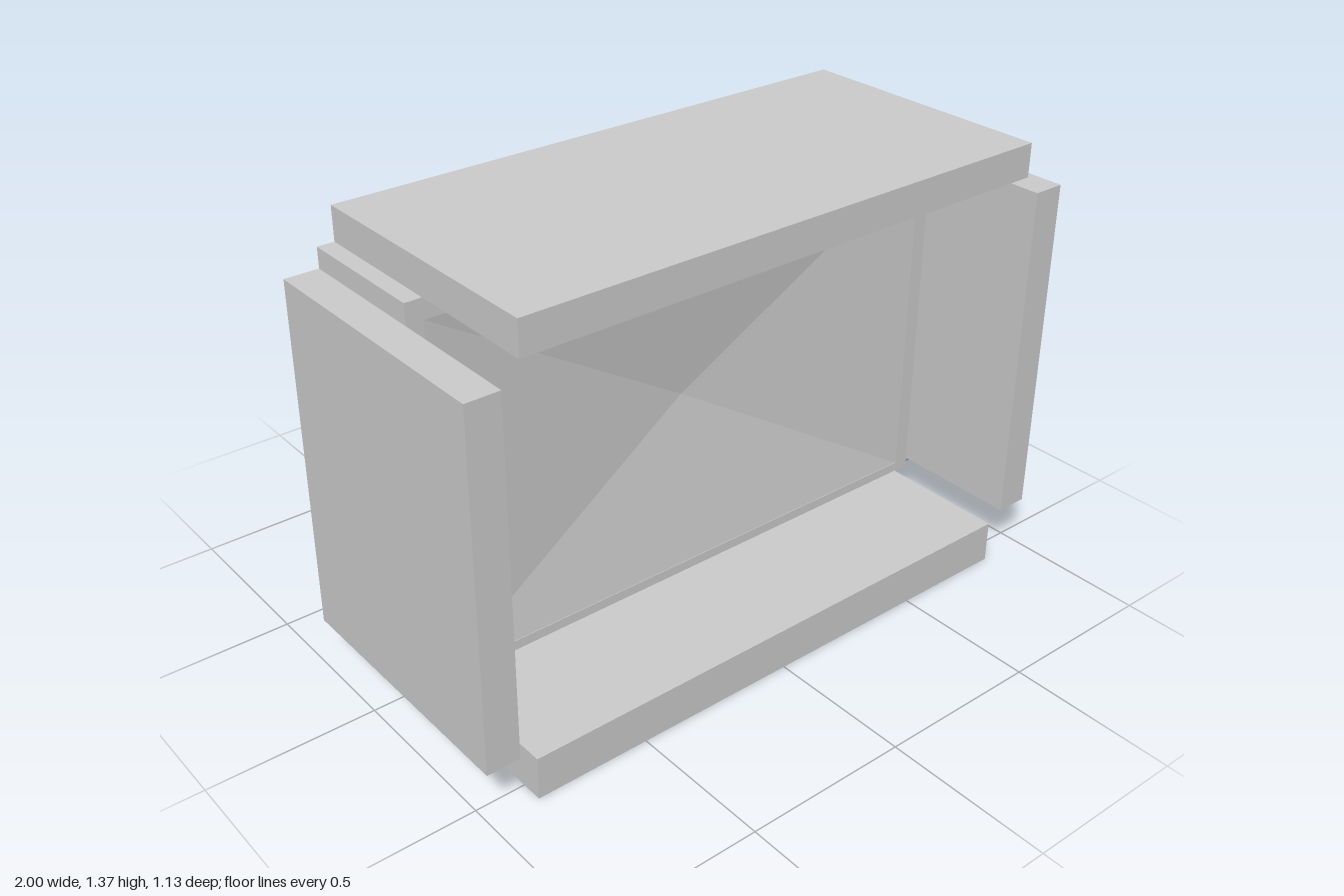
import * as THREE from 'three';
import { ConvexGeometry } from 'three/addons/geometries/ConvexGeometry.js';

const mat = new THREE.MeshStandardMaterial({ color: 0xcccccc, flatShading: true });
const thin = new THREE.MeshStandardMaterial({ color: 0xcccccc, flatShading: true, side: THREE.DoubleSide });

function add(parent, name, geo, x = 0, y = 0, z = 0, m = mat) {
  const mesh = new THREE.Mesh(geo, m);
  mesh.name = name;
  mesh.position.set(x, y, z);
  parent.add(mesh);
  return mesh;
}

// box from its extents
function block(parent, name, x0, x1, y0, y1, z0, z1) {
  return add(parent, name, new THREE.BoxGeometry(x1 - x0, y1 - y0, z1 - z0),
    (x0 + x1) / 2, (y0 + y1) / 2, (z0 + z1) / 2);
}

// solid through sections [z, halfWidth, y0, y1] with decreasing z; chamfer cuts the corners
function loft(sections, chamfer = 0) {
  const pos = [], idx = [];
  let n = 4;
  for (const [z, w, y0, y1] of sections) {
    const cx = w * chamfer, cy = (y1 - y0) * chamfer / 2;
    const ring = chamfer
      ? [[-w + cx, y0], [w - cx, y0], [w, y0 + cy], [w, y1 - cy], [w - cx, y1], [-w + cx, y1], [-w, y1 - cy], [-w, y0 + cy]]
      : [[-w, y0], [w, y0], [w, y1], [-w, y1]];
    n = ring.length;
    ring.forEach(([x, y]) => pos.push(x, y, z));
  }
  const last = (sections.length - 1) * n;
  for (let r = 0; r < last; r += n) {
    for (let i = 0; i < n; i++) {
      const j = (i + 1) % n;
      idx.push(r + i, r + n + i, r + j, r + j, r + n + i, r + n + j);
    }
  }
  for (let i = 1; i < n - 1; i++) idx.push(0, i, i + 1, last, last + i + 1, last + i);
  const g = new THREE.BufferGeometry();
  g.setAttribute('position', new THREE.Float32BufferAttribute(pos, 3));
  g.setIndex(idx);
  const flat = g.toNonIndexed();
  flat.computeVertexNormals();
  return flat;
}

// faceted bead with eight sides and bevelled ends
function gem(w, h, d) {
  const profile = [[0, -0.5], [0.34, -0.5], [0.54, -0.27], [0.54, 0.27], [0.34, 0.5], [0, 0.5]]
    .map(([x, y]) => new THREE.Vector2(x, y));
  return new THREE.LatheGeometry(profile, 8).rotateY(Math.PI / 8).scale(w, h, d);
}

// beaked animal head on a stepped plinth, looking to the back
function creatureHead(x) {
  const g = new THREE.Group();
  g.name = 'beakedHead';
  add(g, 'plinth', loft([[0.1, 0.115, 0.165, 0.39], [-0.25, 0.115, 0.18, 0.4], [-0.28, 0.137, 0.155, 0.42],
    [-0.31, 0.092, 0.19, 0.38]]));
  add(g, 'neck', loft([[-0.3, 0.09, 0.195, 0.38], [-0.385, 0.075, 0.2, 0.41]], 0.25));
  add(g, 'upperBeak', loft([[-0.37, 0.075, 0.27, 0.405], [-0.42, 0.1, 0.31, 0.415], [-0.46, 0.1, 0.31, 0.412],
    [-0.52, 0.072, 0.3, 0.37], [-0.55, 0.038, 0.275, 0.34], [-0.56, 0.026, 0.265, 0.32]], 0.4));
  add(g, 'lowerJaw', loft([[-0.37, 0.075, 0.2, 0.275], [-0.43, 0.07, 0.175, 0.25], [-0.47, 0.055, 0.168, 0.225],
    [-0.525, 0.025, 0.203, 0.213]], 0.3));
  add(g, 'tongue', loft([[-0.38, 0.04, 0.265, 0.275], [-0.46, 0.04, 0.24, 0.25], [-0.5, 0.035, 0.23, 0.24],
    [-0.565, 0.01, 0.233, 0.242]]));
  g.position.x = x;
  return g;
}

export function createModel() {
  const model = new THREE.Group();
  model.name = 'ornateNiche';

  // outer slabs
  block(model, 'topSlab', -0.85, 0.85, 1.27, 1.37, -0.25, 0.565);
  block(model, 'bottomSlab', -0.85, 0.85, 0, 0.13, -0.25, 0.565);
  for (const s of [-1, 1]) block(model, 'sideSlab', s * 0.95 - 0.05, s * 0.95 + 0.05, 0.16, 1.21, -0.25, 0.565);

  // inner frame
  const rect = (C, x, y0, y1) => {
    const p = new C();
    p.moveTo(-x, y0).lineTo(x, y0).lineTo(x, y1).lineTo(-x, y1).closePath();
    return p;
  };
  const frame = rect(THREE.Shape, 0.9, 0.13, 1.27);
  frame.holes.push(rect(THREE.Path, 0.85, 0.16, 1.21));
  add(model, 'innerFrame', new THREE.ExtrudeGeometry(frame, { depth: 0.415, bevelEnabled: false }), 0, 0, -0.25);

  // shallow pyramid panel closing the frame
  const panel = new THREE.BufferGeometry();
  panel.setAttribute('position', new THREE.Float32BufferAttribute(
    [-0.85, 0.16, 0.163, 0.85, 0.16, 0.163, 0.85, 1.21, 0.163, -0.85, 1.21, 0.163, 0, 0.685, 0.1], 3));
  panel.setIndex([0, 1, 4, 1, 2, 4, 2, 3, 4, 3, 0, 4]);
  const flatPanel = panel.toNonIndexed();
  flatPanel.computeVertexNormals();
  add(model, 'panel', flatPanel, 0, 0, 0, thin);

  for (const s of [-1, 1]) {
    // side column of beads and spacers above the head
    const column = new THREE.Group();
    column.name = 'beadColumn';
    for (const y of [0.54, 0.81, 1.08]) {
      add(column, 'bead', gem(0.25, 0.225, 0.24), 0, y, -0.115);
      add(column, 'spacer', new THREE.BoxGeometry(0.25, 0.025, 0.22), 0, y - 0.135, -0.12);
    }
    column.position.x = s * 0.71;
    model.add(column);
    model.add(creatureHead(s * 0.727));

    // top row of beads and upright spacers
    add(model, 'innerRowBead', gem(0.21, 0.2, 0.21), s * 0.13, 1.11, -0.175);
    add(model, 'outerRowBead', gem(0.21, 0.2, 0.2), s * 0.42, 1.1, -0.145);
    block(model, 'innerDivider', s * 0.265 - 0.012, s * 0.265 + 0.012, 1.01, 1.21, -0.262, -0.06);
    block(model, 'outerDivider', s * 0.56 - 0.012, s * 0.56 + 0.012, 1.0, 1.2, -0.245, -0.05);

    // shelf and wedge under the centre beads
    block(model, 'shelf', s * 0.17 - 0.15, s * 0.17 + 0.15, 0.955, 0.985, -0.264, -0.02);
    const wedge = [[0.03, 0.955, -0.24], [0.28, 0.955, -0.24], [0.28, 0.955, -0.03], [0.03, 0.955, -0.03],
      [0.12, 0.89, -0.2], [0.12, 0.89, -0.06], [0, 0.81, -0.1]];
    add(model, 'pendantWedge', new ConvexGeometry(wedge.map(([x, y, z]) => new THREE.Vector3(s * x, y, z))));
  }
  block(model, 'centreDivider', -0.012, 0.012, 1.0, 1.21, -0.245, -0.06);
  return model;
}
